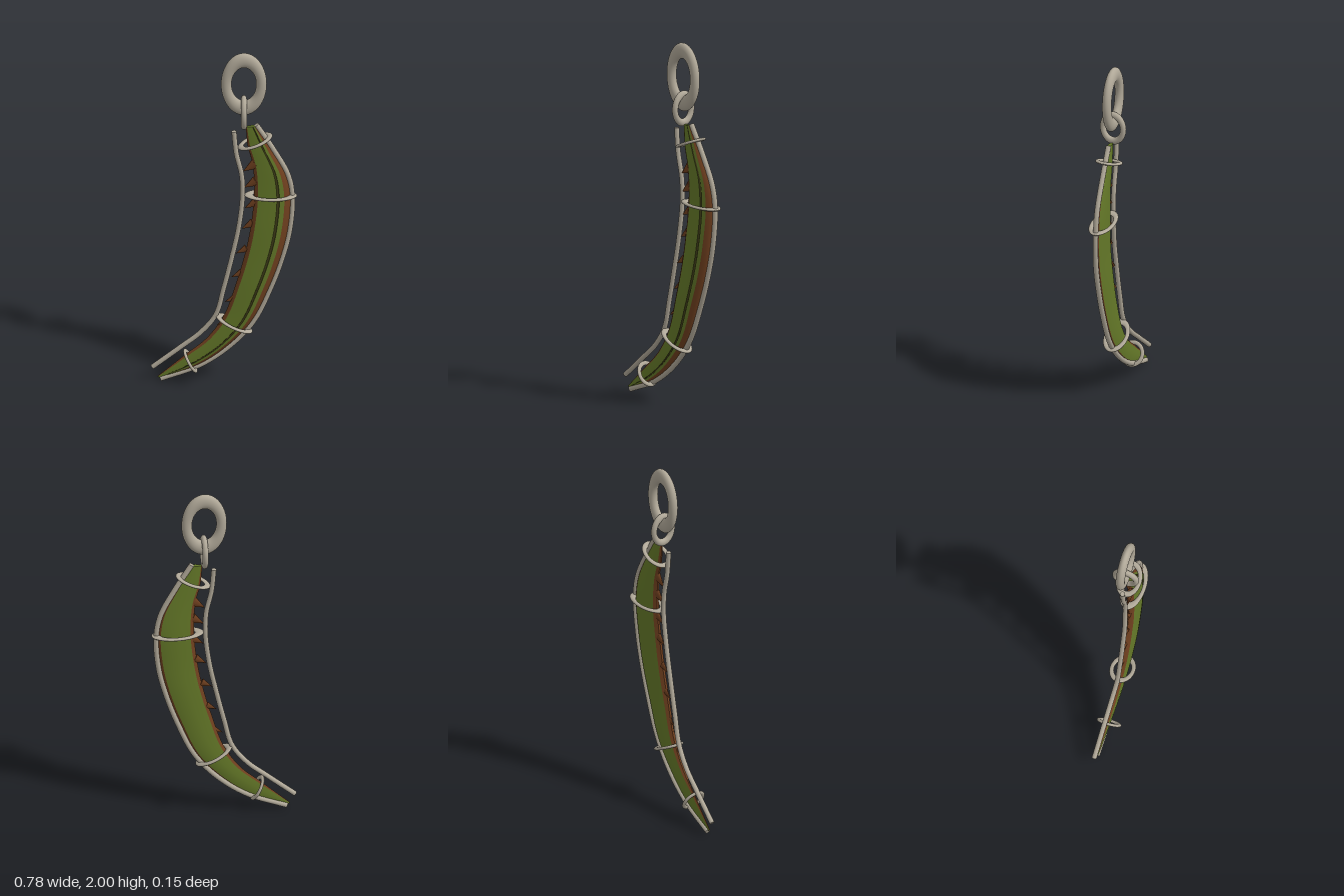
import * as THREE from 'three';

const metal = new THREE.MeshStandardMaterial({ color: 0xb0a898 });
const green = new THREE.MeshStandardMaterial({ color: 0x647828 });
const brown = new THREE.MeshStandardMaterial({ color: 0x70401f });
const dark = new THREE.MeshStandardMaterial({ color: 0x3c3a16 });

const curve = pts => new THREE.CatmullRomCurve3(pts.map(([x, y, z = 0]) => new THREE.Vector3(x, y, z)));

// Pod edges, paired from the top to the tip
const innerEdge = curve([[0.115, 1.555], [0.125, 1.44], [0.152, 1.32], [0.16, 1.15], [0.14, 0.94, 0.005], [0.11, 0.78, 0.005],
  [0.065, 0.61, 0.005], [0, 0.41, 0], [-0.09, 0.27, -0.003], [-0.2, 0.17, -0.008], [-0.355, 0.03, -0.015]]);
const outerEdge = curve([[0.175, 1.56], [0.26, 1.41], [0.335, 1.26], [0.36, 1.13], [0.345, 0.93, 0.005], [0.305, 0.757, 0.005],
  [0.24, 0.57, 0.005], [0.15, 0.37, 0], [0.03, 0.228, -0.003], [-0.125, 0.106, -0.008], [-0.34, 0.018, -0.015]]);

// Cross-section: [fraction across the width, depth], front left to right, then back
const section = [[0, 0], [0.03, 0.016], [0.1, 0.024], [0.35, 0.034], [0.6, 0.038], [0.63, 0.03], [0.67, 0.037],
  [0.8, 0.032], [0.9, 0.022], [1, 0], [0.9, -0.012], [0.7, -0.021], [0.4, -0.023], [0.1, -0.014], [0, 0]];

function podPoint(u, [t, depth]) {
  const p = innerEdge.getPoint(u).lerp(outerEdge.getPoint(u), t);
  p.z += depth * (0.35 * (1 - u) + 0.1 * u + 0.8 * Math.sin(Math.PI * u) ** 0.8);
  return p;
}

// Lengthwise strip of the pod between two cross-section points
function podStrip(from, to) {
  const rows = 60, cols = to - from + 1, pos = [], idx = [];
  for (let i = 0; i <= rows; i++) {
    for (let j = from; j <= to; j++) pos.push(...podPoint(i / rows, section[j]).toArray());
  }
  for (let i = 0; i < rows; i++) {
    for (let j = 0; j < cols - 1; j++) {
      const a = i * cols + j, b = a + cols;
      idx.push(a, b, b + 1, a, b + 1, a + 1);
    }
  }
  return indexed(pos, idx);
}

function podCap(u, flip) {
  const pos = [], idx = [];
  section.forEach(s => pos.push(...podPoint(u, s).toArray()));
  pos.push(...podPoint(u, [0.5, 0]).toArray());
  for (let j = 0; j < section.length - 1; j++) {
    idx.push(section.length, flip ? j + 1 : j, flip ? j : j + 1);
  }
  return indexed(pos, idx);
}

function indexed(pos, idx) {
  const g = new THREE.BufferGeometry();
  g.setAttribute('position', new THREE.Float32BufferAttribute(pos, 3));
  g.setIndex(idx);
  g.computeVertexNormals();
  return g;
}

export function createModel() {
  const model = new THREE.Group();
  const add = (name, geometry, material, parent = model) => {
    const mesh = new THREE.Mesh(geometry, material);
    mesh.name = name;
    parent.add(mesh);
    return mesh;
  };

  // Hanging ring and its connecting link
  add('hangingRing', new THREE.TorusGeometry(0.094, 0.028, 20, 56).scale(1, 1.53, 0.87), metal).position.set(0.105, 1.813, 0);
  add('connectingLink', new THREE.TorusGeometry(0.058, 0.016, 16, 40).rotateY(Math.PI / 2).scale(1, 1.32, 1), metal)
    .position.set(0.105, 1.64, 0);

  // Pod
  const pod = new THREE.Group();
  pod.name = 'pod';
  model.add(pod);
  add('innerRim', podStrip(0, 2), brown, pod);
  add('frontFace', podStrip(2, 4), green, pod);
  add('frontGroove', podStrip(4, 6), dark, pod);
  add('frontBorder', podStrip(6, 7), green, pod);
  add('outerRim', podStrip(7, 10), brown, pod);
  add('backFace', podStrip(10, 13), green, pod);
  add('backInnerRim', podStrip(13, 14), brown, pod);
  add('topCap', podCap(0, false), green, pod);
  add('tipCap', podCap(1, true), brown, pod);

  // Thorns hooked down from the inner edge: [tip x, tip y, size]
  const thorns = new THREE.Group();
  thorns.name = 'thorns';
  model.add(thorns);
  [[0.1, 1.285, 1], [0.105, 1.185, 0.9], [0.108, 1.06, 0.8], [0.093, 0.935, 0.8], [0.062, 0.785, 0.7],
    [0.037, 0.64, 0.65], [0.003, 0.49, 0.6], [-0.04, 0.35, 0.55]].forEach(([x, y, s]) => {
    const base = new THREE.Vector3(x + 0.068 * (0.5 + s / 2), y + 0.045 * s, 0.006);
    const dir = new THREE.Vector3(x, y, 0.004).sub(base);
    const length = dir.length();
    const geo = new THREE.ConeGeometry(0.034 * s, length, 10).translate(0, length / 2, 0).scale(1, 1, 0.45);
    const thorn = add('thorn', geo, brown, thorns);
    thorn.rotation.z = Math.atan2(dir.y, dir.x) - Math.PI / 2;
    thorn.position.copy(base);
  });

  // Frame wires along both sides, with closed ends
  const wire = (name, path, radius) => {
    add(name, new THREE.TubeGeometry(path, 80, radius, 12), metal);
    [0, 1].forEach(u => {
      const cap = add(name + 'End', new THREE.CircleGeometry(radius, 12), metal);
      const p = path.getPointAt(u);
      cap.position.copy(p);
      cap.lookAt(p.clone().addScaledVector(path.getTangentAt(u), u ? 1 : -1));
    });
  };
  wire('innerWire', curve([[0.052, 1.525], [0.065, 1.39], [0.093, 1.26], [0.098, 1.13], [0.077, 0.94, 0.004], [0.04, 0.757, 0.004],
    [-0.003, 0.57, 0.003], [-0.045, 0.41], [-0.125, 0.3, -0.007], [-0.23, 0.21, -0.012], [-0.382, 0.085, -0.018]]), 0.0135);
  wire('outerWire', curve([[0.172, 1.565], [0.265, 1.41], [0.34, 1.26], [0.363, 1.13], [0.35, 0.93, 0.004], [0.31, 0.757, 0.004],
    [0.247, 0.57, 0.003], [0.157, 0.37], [0.035, 0.222, -0.006], [-0.125, 0.102, -0.01], [-0.338, 0.015, -0.016]]), 0.0145);

  // Flat binding rings: [x, y, half length, half depth, tilt]
  [[0.165, 1.463, 0.1, 0.07, 0.38], [0.248, 1.135, 0.141, 0.066, -0.02],
    [0.053, 0.355, 0.11, 0.068, -0.47], [-0.18, 0.13, 0.073, 0.068, -1.07]].forEach(([x, y, half, depth, tilt]) => {
    const geo = new THREE.TorusGeometry(0.83, 0.17, 14, 48).rotateX(Math.PI / 2).scale(half, 0.048, depth).rotateZ(tilt);
    add('bindingRing', geo, metal).position.set(x, y, 0);
  });

  return model;
}
